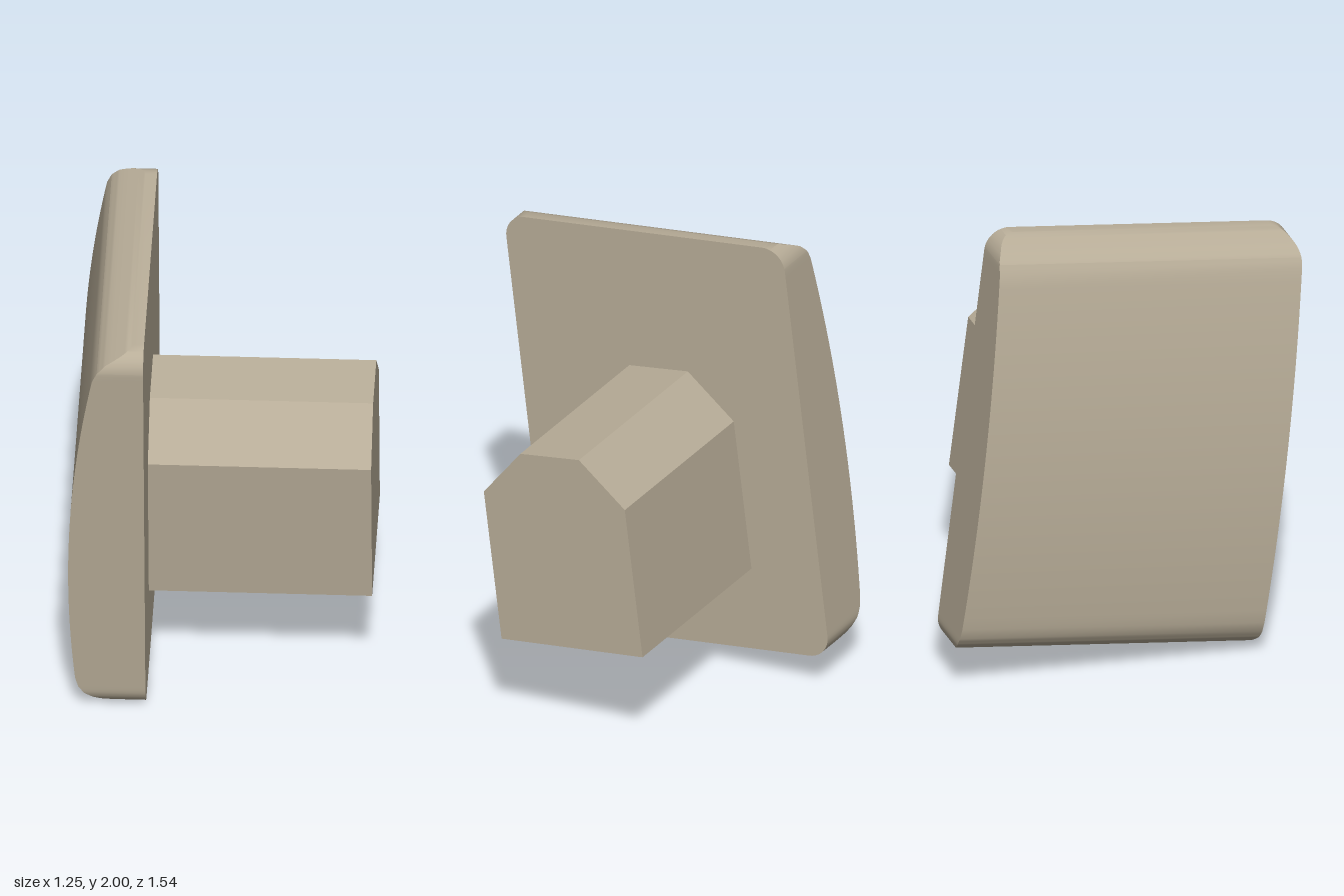
import * as THREE from 'three';
import { toCreasedNormals } from 'three/addons/utils/BufferGeometryUtils.js';

const BACK = -0.31;              // flat side of the plate
const A = 0.572, B = 0.8365, R = 0.1; // half sizes inside the corner radius
const TILT = THREE.MathUtils.degToRad(7);

// Rounded ends of the domed face: [height, x]
const lower = [[-0.9365, -0.36], [-0.9, -0.5], [-0.885, -0.53], [-0.857, -0.567], [-0.82, -0.592], [-0.774, -0.604]];
const upper = [[0.808, -0.525], [0.85, -0.505], [0.885, -0.47], [0.905, -0.43], [0.9365, -0.36]];

function faceX(v) {
  const pts = v < -0.774 ? lower : v > 0.808 ? upper : null;
  if (!pts) return -0.63 + 0.094 * (v + 0.25) ** 2;
  let i = 1;
  while (i < pts.length - 1 && v > pts[i][0]) i++;
  const [v0, x0] = pts[i - 1], [v1, x1] = pts[i];
  return x0 + (x1 - x0) * (v - v0) / (v1 - v0);
}

function halfWidth(v) {
  const d = Math.max(0, Math.abs(v) - B);
  return A + Math.sqrt(Math.max(0, R * R - d * d));
}

// Rectangular sections stacked up the plate
function plateGeometry() {
  const heights = [...lower, ...upper].map((p) => p[0]);
  for (let i = 0; i <= 12; i++) {
    const d = B + R * Math.sin((i / 12) * Math.PI / 2);
    heights.push(d, -d);
  }
  for (let i = 1; i < 28; i++) heights.push(-0.774 + (i / 28) * 1.582);
  heights.sort((p, q) => p - q);
  const levels = heights.filter((v, i) => i === 0 || v - heights[i - 1] > 1e-5);

  const pos = [], idx = [];
  levels.forEach((v, k) => {
    const w = halfWidth(v), x = faceX(v), o = k * 4;
    pos.push(BACK, v, w, BACK, v, -w, x, v, -w, x, v, w);
    if (k === 0) return;
    for (let i = 0; i < 4; i++) {
      const j = (i + 1) % 4;
      idx.push(o - 4 + i, o - 4 + j, o + j, o - 4 + i, o + j, o + i);
    }
  });
  const t = (levels.length - 1) * 4;
  idx.push(0, 2, 1, 0, 3, 2, t, t + 1, t + 2, t, t + 2, t + 3);
  const geo = new THREE.BufferGeometry();
  geo.setAttribute('position', new THREE.Float32BufferAttribute(pos, 3));
  geo.setIndex(idx);
  return toCreasedNormals(geo, 0.6);
}

export function createModel() {
  const group = new THREE.Group();
  const material = new THREE.MeshStandardMaterial({ color: 0xb8ad98 });

  // Domed plate, tilted about x
  const plate = new THREE.Mesh(plateGeometry(), material);
  plate.name = 'domedPlate';
  plate.rotation.x = TILT;
  plate.position.y = 1;
  group.add(plate);

  // Six-sided stem
  const outline = [[-0.27, 0.4], [0.405, 0.48], [0.32, 1.15], [0.1, 1.33], [-0.18, 1.29], [-0.355, 1.07]];
  const shape = new THREE.Shape(outline.map(([x, y]) => new THREE.Vector2(x, y)));
  const stem = new THREE.Mesh(
    new THREE.ExtrudeGeometry(shape, { depth: 0.935, bevelEnabled: false }), material);
  stem.name = 'stem';
  stem.rotation.y = Math.PI / 2;
  stem.position.x = BACK;
  group.add(stem);

  return group;
}
